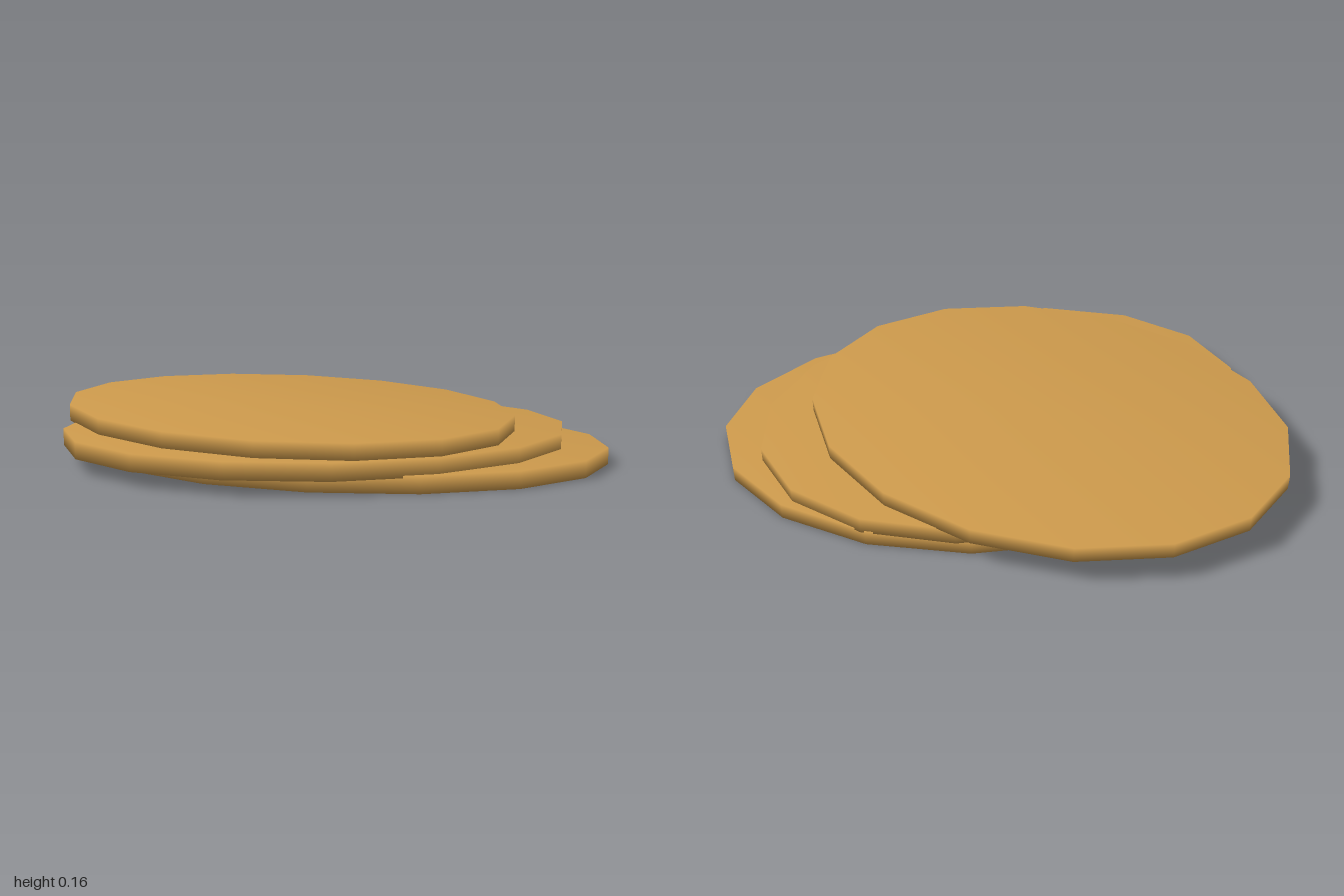
import * as THREE from 'three';
import { mergeVertices } from 'three/addons/utils/BufferGeometryUtils.js';

// One 16-sided oval slab: centre (x, z), two half-axis vectors, bottom and top heights
function slab(name, [cx, cz], [ax, az], [bx, bz], y0, y1, material) {
  let geo = new THREE.CylinderGeometry(1, 1, 1, 16);
  const m = new THREE.Matrix4().makeBasis(
    new THREE.Vector3(ax, 0, az),
    new THREE.Vector3(0, y1 - y0, 0),
    new THREE.Vector3(bx, 0, bz)
  );
  m.setPosition(cx, (y0 + y1) / 2, cz);

  // weld caps to the rim so the shading rolls softly over the edge
  geo.deleteAttribute('normal');
  geo.deleteAttribute('uv');
  geo = mergeVertices(geo);
  geo.applyMatrix4(m);
  geo.computeVertexNormals();

  const mesh = new THREE.Mesh(geo, material);
  mesh.name = name;
  return mesh;
}

export function createModel() {
  const group = new THREE.Group();
  group.name = 'stackedDiscs';

  const golden = new THREE.MeshStandardMaterial({ color: 0xcd9a4c });
  golden.name = 'golden brown';

  // three loosely stacked ovals, each shifted and skewed a little
  group.add(
    slab('bottomDisc', [0.085, 0.018], [0.915, -0.008], [-0.01, 0.607], 0, 0.058, golden),
    slab('middleDisc', [-0.015, 0.066], [0.855, 0.004], [-0.16, 0.66], 0.05, 0.109, golden),
    slab('topDisc', [-0.16, -0.04], [0.84, 0.08], [0.07, 0.695], 0.106, 0.164, golden)
  );
  return group;
}
